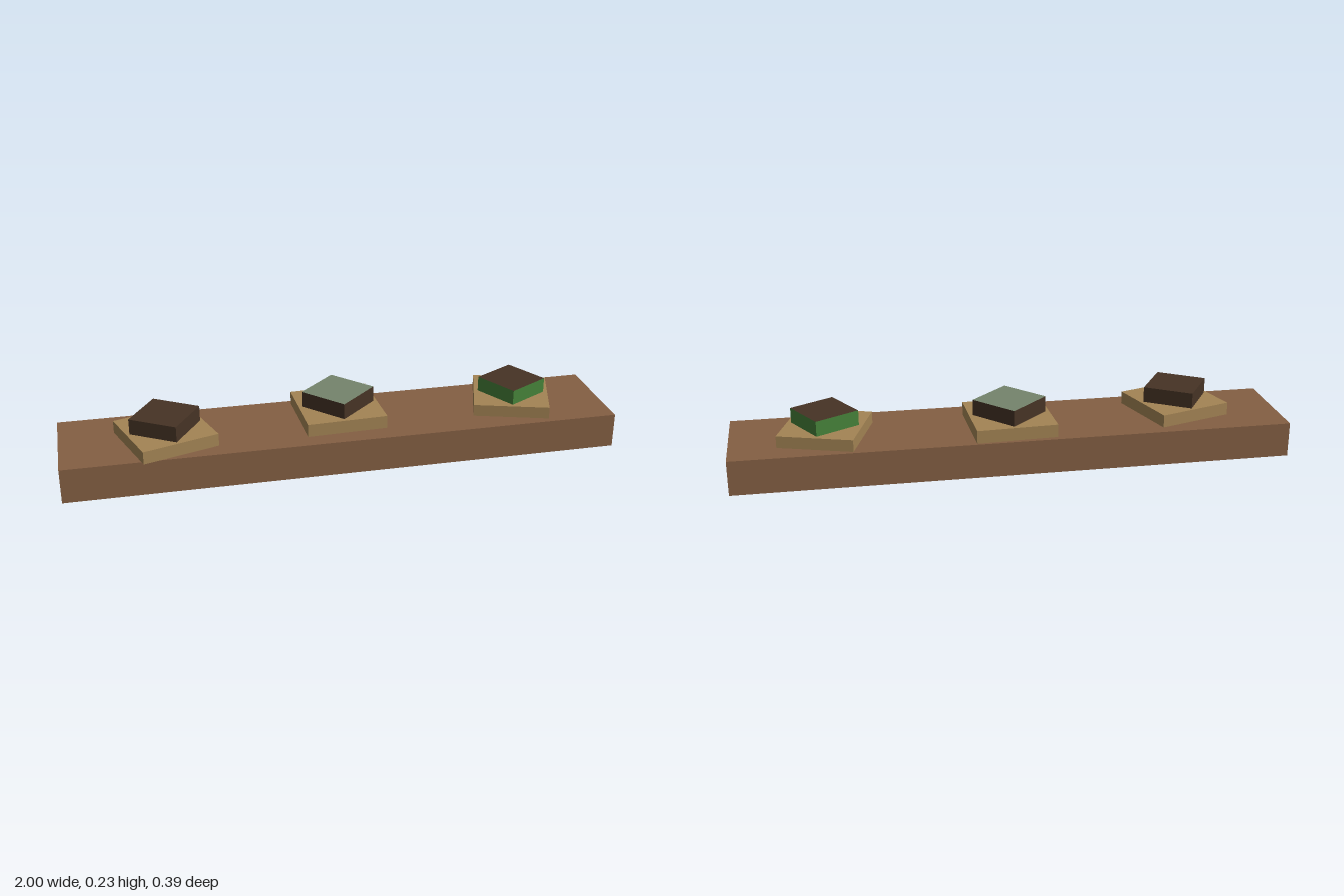
import * as THREE from 'three';

const material = (name, color, side = THREE.FrontSide) => {
  const m = new THREE.MeshStandardMaterial({ color, side });
  m.name = name;
  return m;
};

export function createModel() {
  const model = new THREE.Group();
  model.name = 'servingBoard';

  const wood = material('boardBrown', 0x845f43, THREE.DoubleSide);
  const tan = material('plateTan', 0xa38454);
  const dark = material('darkBrown', 0x463325);
  const green = material('leafGreen', 0x458038);
  const sage = material('sageGreen', 0x75846c);

  const BOARD_TOP = 0.126;

  // Board: thin shell with an open underside
  const shell = new THREE.BoxGeometry(2, BOARD_TOP, 0.376);
  const faces = Array.from(shell.index.array);
  faces.splice(18, 6); // drop the bottom face
  shell.setIndex(faces);
  shell.clearGroups();
  const board = new THREE.Mesh(shell, wood);
  board.name = 'board';
  board.position.set(0, BOARD_TOP / 2, -0.009);
  model.add(board);

  // Square block standing at height y, with its own colour on top
  const addBlock = (parent, name, size, height, y, turn, sideMat, topMat) => {
    const mats = [sideMat, sideMat, topMat, sideMat, sideMat, sideMat];
    const mesh = new THREE.Mesh(new THREE.BoxGeometry(size, height, size), mats);
    mesh.name = name;
    mesh.position.y = y + height / 2;
    mesh.rotation.y = turn;
    parent.add(mesh);
  };

  // Three servings: a turned plate with a morsel on it
  const servings = [
    { name: 'rightServing', x: -0.627, z: 0.021, plate: [0.28, 0.046, 0.31], morsel: [0.182, 0.057, -0.565], side: dark, top: dark },
    { name: 'middleServing', x: 0.006, z: -0.037, plate: [0.291, 0.047, 0.04], morsel: [0.187, 0.058, 0.75], side: dark, top: sage },
    { name: 'leftServing', x: 0.662, z: -0.015, plate: [0.273, 0.043, -0.305], morsel: [0.172, 0.055, 0.515], side: green, top: dark },
  ];
  for (const s of servings) {
    const group = new THREE.Group();
    group.name = s.name;
    group.position.set(s.x, BOARD_TOP, s.z);
    const [pSize, pHeight, pTurn] = s.plate;
    const [mSize, mHeight, mTurn] = s.morsel;
    addBlock(group, 'plate', pSize, pHeight, 0, pTurn, tan, tan);
    addBlock(group, 'morsel', mSize, mHeight, pHeight, mTurn, s.side, s.top);
    model.add(group);
  }
  return model;
}
